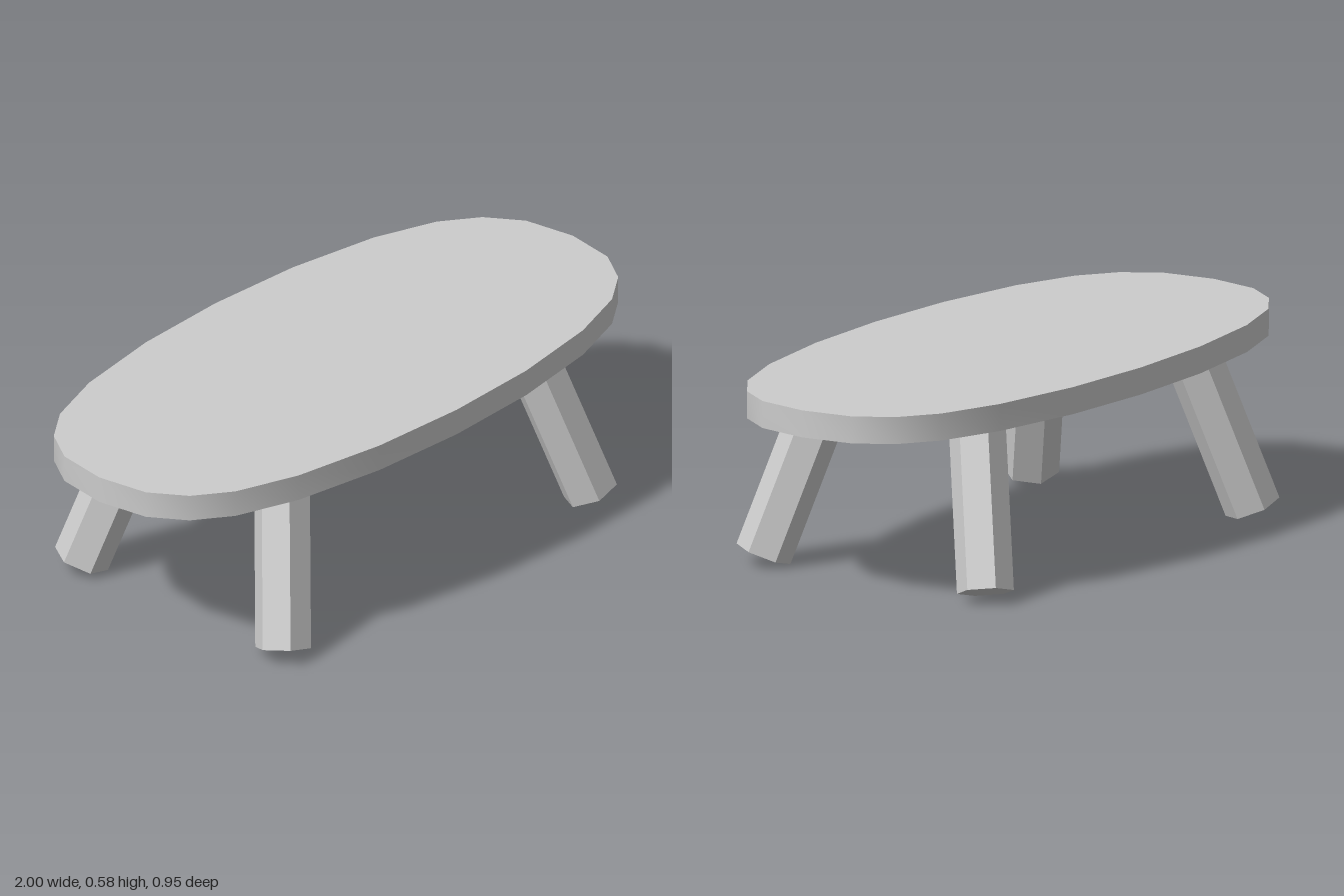
import * as THREE from 'three';
import { toCreasedNormals } from 'three/addons/utils/BufferGeometryUtils.js';

const BOTTOM = 0.498, THICKNESS = 0.08;
const LEG_RADIUS = 0.083, LEG_LENGTH = 0.535, SPLAY = THREE.MathUtils.degToRad(15);

export function createModel() {
  const group = new THREE.Group();
  const smooth = new THREE.MeshStandardMaterial({ color: 0xcccccc });
  const flat = new THREE.MeshStandardMaterial({ color: 0xcccccc, flatShading: true });

  // Oval tabletop: one quarter of the outline, mirrored into 24 sides
  const quarter = [[1, 0], [0.975, 0.16], [0.905, 0.267], [0.795, 0.345], [0.6, 0.412], [0.31, 0.459], [0, 0.474]];
  const half = [...quarter, ...quarter.slice(0, -1).reverse().map(([x, z]) => [-x, z])];
  const outline = [...half, ...half.slice(1, -1).reverse().map(([x, z]) => [x, -z])];
  const shape = new THREE.Shape(outline.map(([x, z]) => new THREE.Vector2(x, z)));
  const slab = new THREE.ExtrudeGeometry(shape, { depth: THICKNESS, bevelEnabled: false });
  slab.rotateX(-Math.PI / 2);
  const top = new THREE.Mesh(toCreasedNormals(slab, 0.5), smooth);
  top.name = 'tabletop';
  top.position.y = BOTTOM;
  group.add(top);

  // Four splayed hexagonal legs, with a corner of the hexagon along x
  const legGeometry = new THREE.CylinderGeometry(LEG_RADIUS, LEG_RADIUS, LEG_LENGTH, 6);
  legGeometry.rotateY(Math.PI / 6).translate(0, LEG_LENGTH / 2, 0);
  for (const sx of [1, -1]) {
    for (const sz of [1, -1]) {
      const leg = new THREE.Mesh(legGeometry, flat);
      leg.name = (sz > 0 ? 'front' : 'back') + (sx > 0 ? 'Left' : 'Right') + 'Leg';
      leg.position.set(sx * 0.649, 0.029, sz * 0.396);
      leg.rotation.set(-sz * SPLAY, 0, sx * SPLAY);
      group.add(leg);
    }
  }
  return group;
}
